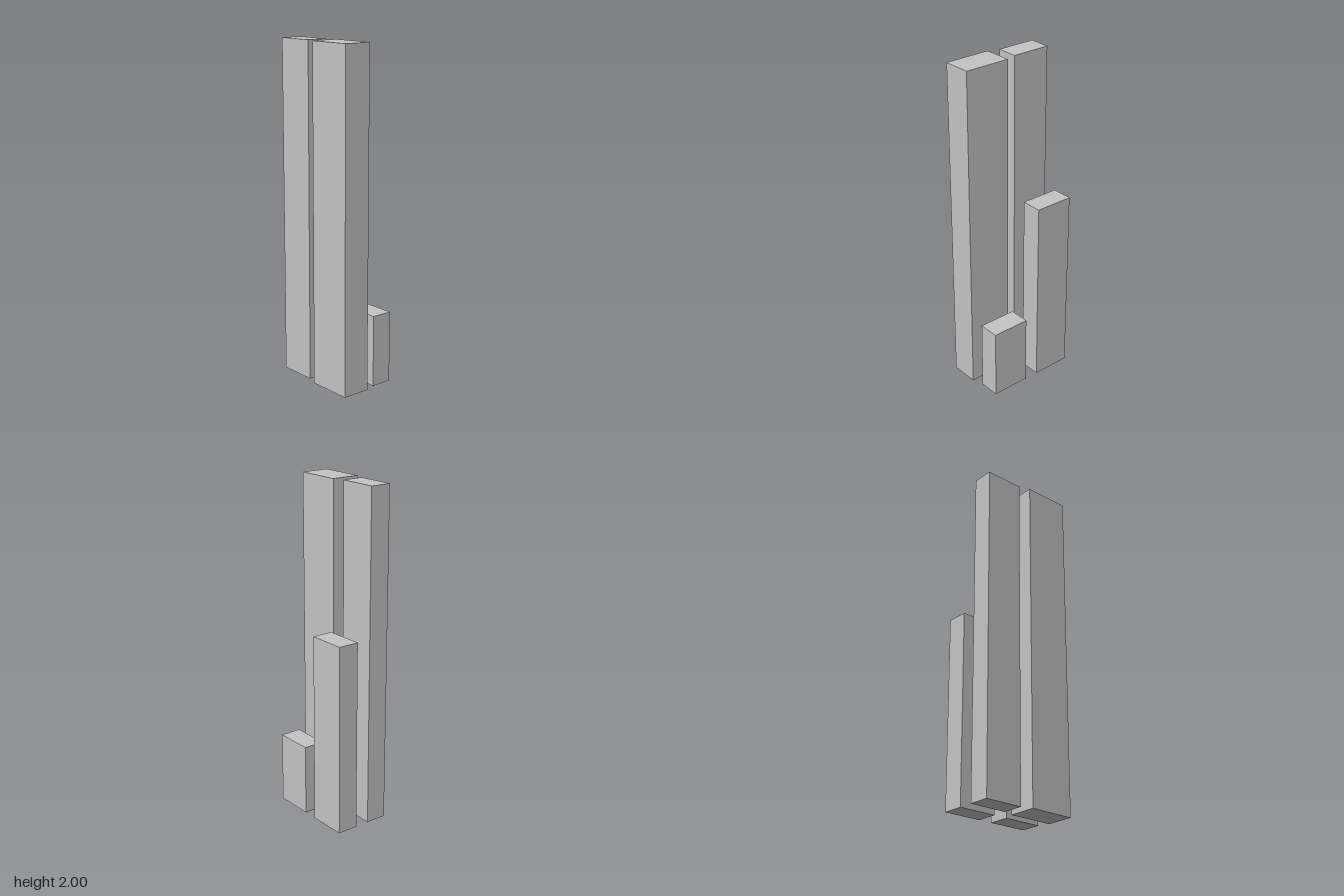
import * as THREE from 'three';

const lightGrey = new THREE.MeshStandardMaterial({ color: 0xc4c4c4 });
lightGrey.name = 'lightGrey';

// Each tower: name, x range, z range, height
const TOWERS = [
  ['frontLeftTower', 0.011, 0.29, 0.011, 0.182, 2.0],
  ['frontRightTower', -0.29, -0.054, 0.032, 0.16, 2.0],
  ['backRightTower', -0.29, -0.054, -0.182, -0.054, 1.143],
  ['backLeftTower', 0.032, 0.268, -0.182, -0.054, 0.429],
];

export function createModel() {
  const model = new THREE.Group();
  model.name = 'towerCluster';
  for (const [name, x0, x1, z0, z1, height] of TOWERS) {
    const tower = new THREE.Mesh(new THREE.BoxGeometry(x1 - x0, height, z1 - z0), lightGrey);
    tower.name = name;
    tower.position.set((x0 + x1) / 2, height / 2, (z0 + z1) / 2);
    model.add(tower);
  }
  return model;
}
